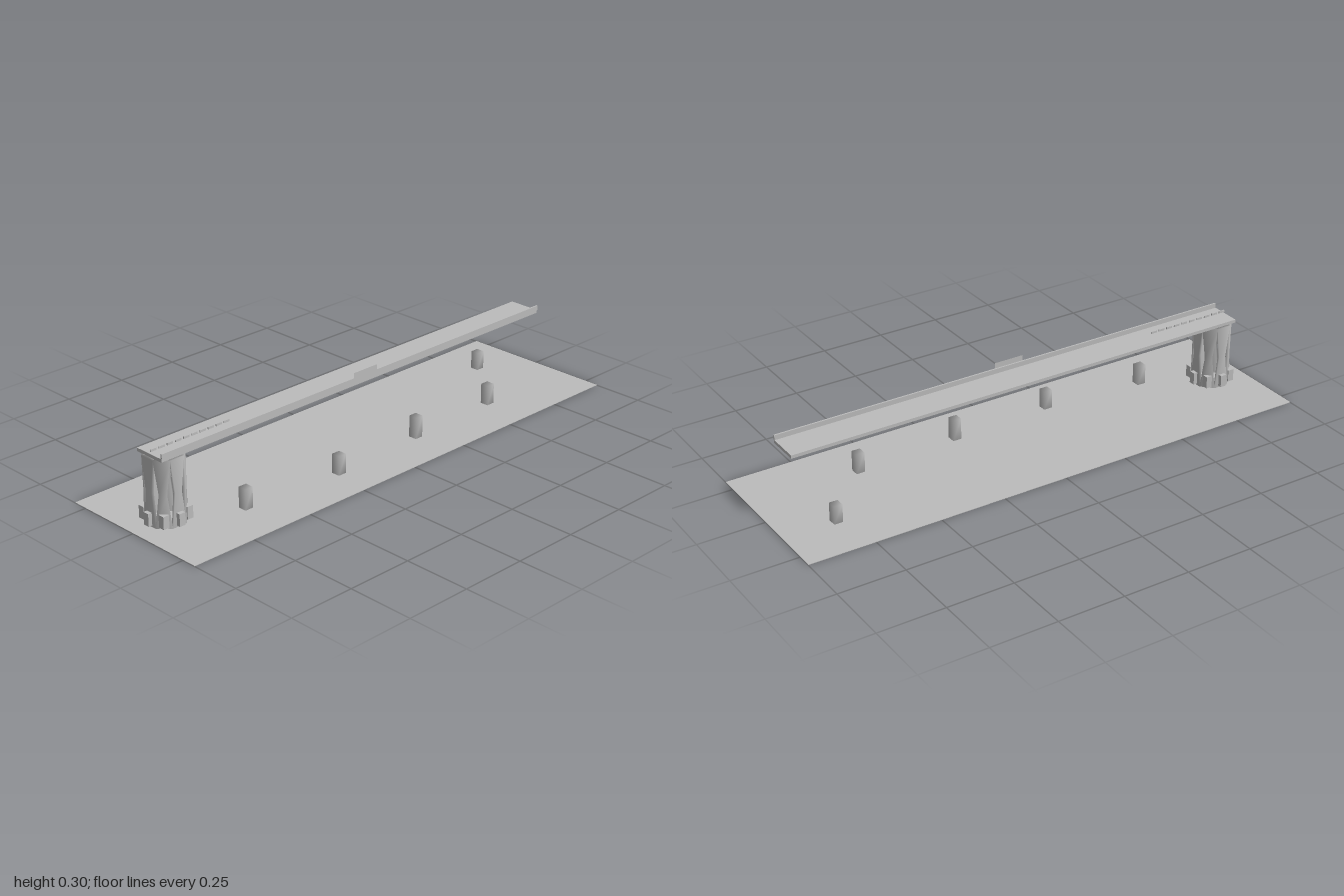
import * as THREE from 'three';
import { mergeVertices } from 'three/addons/utils/BufferGeometryUtils.js';

export function createModel() {
  const model = new THREE.Group();
  model.name = 'bridgeDeckOnTower';
  const grey = new THREE.MeshStandardMaterial({ color: 0xbcbcbc, side: THREE.DoubleSide });
  grey.name = 'plain grey';

  const add = (name, geometry, x, y, z, parent = model) => {
    const mesh = new THREE.Mesh(geometry, grey);
    mesh.name = name;
    mesh.position.set(x, y, z);
    parent.add(mesh);
    return mesh;
  };
  // Box given by its bottom centre
  const box = (name, w, h, d, x, y, z, parent) =>
    add(name, new THREE.BoxGeometry(w, h, d), x, y + h / 2, z, parent);
  // Share corners so the shading runs smoothly over the edges
  const soften = (geometry) => {
    geometry.deleteAttribute('normal');
    geometry.deleteAttribute('uv');
    const merged = mergeVertices(geometry);
    merged.computeVertexNormals();
    return merged;
  };

  // Ground sheet and the strip below the deck
  box('ground', 2, 0.002, 0.612, 0, 0, 0);
  const strip = add('groundStrip', new THREE.PlaneGeometry(1.84, 0.122), 0, 0.0026, 0);
  strip.rotation.x = -Math.PI / 2;

  // Long deck with a curb along its front edge
  box('deck', 1.84, 0.012, 0.123, 0, 0.249, 0.001);
  box('curb', 1.84, 0.018, 0.006, 0, 0.261, 0.0625);

  // Upright panel on the curb
  add('panel', new THREE.PlaneGeometry(0.115, 0.031), -0.003, 0.2835, 0.0665);

  // Row of short bars over the tower end of the deck
  const bars = new THREE.Group();
  bars.name = 'deckBars';
  model.add(bars);
  for (let i = 0; i < 10; i++) {
    box('deckBar', 0.024, 0.008, 0.004, -0.905 + i * 0.0347, 0.267, 0.005, bars);
  }

  // Hollow tower: eight waisted columns leave diamond openings between them
  const tower = new THREE.Group();
  tower.name = 'tower';
  tower.position.x = -0.86;
  model.add(tower);
  const bottom = 0.002, top = 0.247;
  for (let i = 0; i < 8; i++) {
    const geometry = new THREE.BoxGeometry(0.014, top - bottom, 1, 1, 2, 1);
    const p = geometry.attributes.position;
    for (let k = 0; k < p.count; k++) {
      const mid = Math.abs(p.getY(k)) < 0.01;
      const outer = p.getX(k) > 0;
      const half = mid ? 0.014 : 0.0285;
      p.setX(k, outer ? 0.069 : 0.056);
      p.setZ(k, Math.sign(p.getZ(k)) * half * (outer ? 1 : 0.82));
    }
    const column = add('towerColumn', soften(geometry), 0, (top + bottom) / 2, 0, tower);
    column.rotation.y = i * Math.PI / 4;

    // Square footing in front of each column
    const a = i * Math.PI / 4;
    box('footing', 0.024, 0.046, 0.024, 0.072 * Math.cos(a), 0.008, 0.072 * Math.sin(a), tower);
  }

  // Posts standing on the ground: x, z, height
  const posts = [
    [-0.62, 0.123, 0.078], [-0.22, 0.155, 0.074], [0.18, 0.138, 0.083],
    [0.58, 0.123, 0.078], [0.8, -0.124, 0.07],
  ];
  for (const [x, z, h] of posts) {
    add('post', soften(new THREE.BoxGeometry(0.033, h, 0.033)), x, h / 2 + 0.001, z);
  }
  return model;
}
